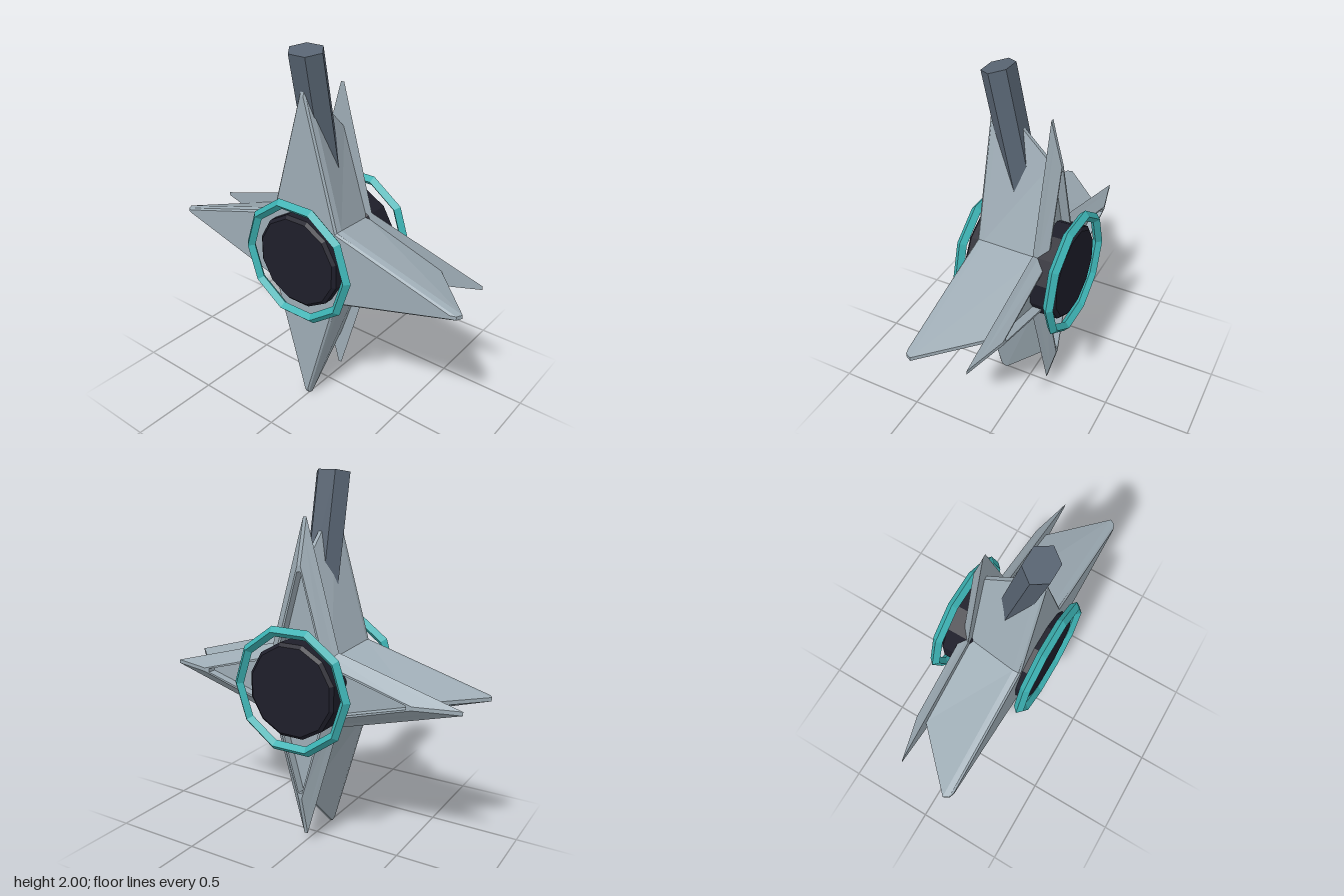
import * as THREE from 'three';

const CENTRE_Y = 0.91;

// Four-pointed star outline with slightly blunt tips, counter-clockwise from the front
function starOutline(tip, notch) {
  const blunt = 0.01, points = [];
  for (let k = 0; k < 4; k++) {
    const c = Math.round(Math.cos(k * Math.PI / 2)), s = Math.round(Math.sin(k * Math.PI / 2));
    for (const [x, y] of [[tip, -blunt], [tip, blunt], [notch, notch]]) {
      points.push([x * c - y * s, x * s + y * c]);
    }
  }
  return points;
}

// Skins star rings [z, tip, notch] from front to back and closes both ends
function starLoft(rings) {
  const loops = rings.map(([z, tip, notch]) => starOutline(tip, notch).map(([x, y]) => [x, y, z]));
  const n = loops[0].length, last = loops.length - 1, pos = [];
  const tri = (a, b, c) => pos.push(...a, ...b, ...c);
  for (let i = 0; i < n; i++) {
    const j = (i + 1) % n;
    tri([0, 0, rings[0][0]], loops[0][i], loops[0][j]);
    tri([0, 0, rings[last][0]], loops[last][j], loops[last][i]);
    for (let r = 0; r < last; r++) {
      const a = loops[r], b = loops[r + 1];
      tri(a[i], b[i], b[j]);
      tri(a[i], b[j], a[j]);
    }
  }
  const geo = new THREE.BufferGeometry();
  geo.setAttribute('position', new THREE.Float32BufferAttribute(pos, 3));
  geo.computeVertexNormals();
  return geo;
}

export function createModel() {
  const group = new THREE.Group();
  const material = (name, color) => {
    const m = new THREE.MeshStandardMaterial({ color, flatShading: true });
    m.name = name;
    return m;
  };
  const paleSteel = material('paleSteel', 0x9eacb5);
  const darkSteel = material('darkSteel', 0x586472);
  const nearBlack = material('nearBlack', 0x1e1e2a);
  const teal = material('teal', 0x3cb2b3);

  const add = (name, geo, mat, x, y, z) => {
    const mesh = new THREE.Mesh(geo, mat);
    mesh.name = name;
    mesh.position.set(x, y, z);
    group.add(mesh);
    return mesh;
  };

  // Thick star with softened front edge, tapering to the back
  add('starBody', starLoft([
    [0.2, 0.865, 0.2],
    [0.19, 0.895, 0.208],
    [0.16, 0.91, 0.212],
    [-0.12, 0.63, 0.165],
  ]), paleSteel, 0, CENTRE_Y, 0);

  // Bevelled back star with a sunken star-shaped floor
  add('backPlate', starLoft([
    [-0.115, 0.865, 0.2],
    [-0.136, 0.78, 0.18],
    [-0.175, 0.63, 0.15],
    [-0.175, 0.6, 0.14],
    [-0.125, 0.6, 0.14],
  ]), paleSteel, 0, CENTRE_Y, 0);

  // Round hub with chamfered rim, and a faceted ring, on both faces
  const hubProfile = [[0, 0.105], [0.24, 0.105], [0.258, 0.12], [0.258, 0.25], [0.24, 0.265], [0, 0.265]]
    .map(([r, h]) => new THREE.Vector2(r, h));
  for (const [side, dir] of [['front', 1], ['back', -1]]) {
    const hub = new THREE.LatheGeometry(hubProfile, 12, Math.PI / 12);
    hub.rotateX(dir * Math.PI / 2);
    add(side + 'Hub', hub, nearBlack, 0, CENTRE_Y, 0);
    add(side + 'Ring', new THREE.TorusGeometry(0.321, 0.028, 4, 10), teal, 0, CENTRE_Y, dir * 0.26);
  }

  // Six-sided post leaning forward out of the top arm
  const length = 0.64, lean = 0.205;
  const post = new THREE.CylinderGeometry(0.1, 0.1, length, 6);
  post.rotateY(Math.PI / 6);
  // one pair of corners must lie on the x axis
  post.computeBoundingBox();
  if (post.boundingBox.max.x < 0.095) post.rotateY(Math.PI / 6);
  post.scale(1, 1, 0.79);
  const postMesh = add('topPost', post, darkSteel, 0,
    1.985 - Math.cos(lean) * length / 2, 0.163 - Math.sin(lean) * length / 2);
  postMesh.rotation.x = lean;

  return group;
}
